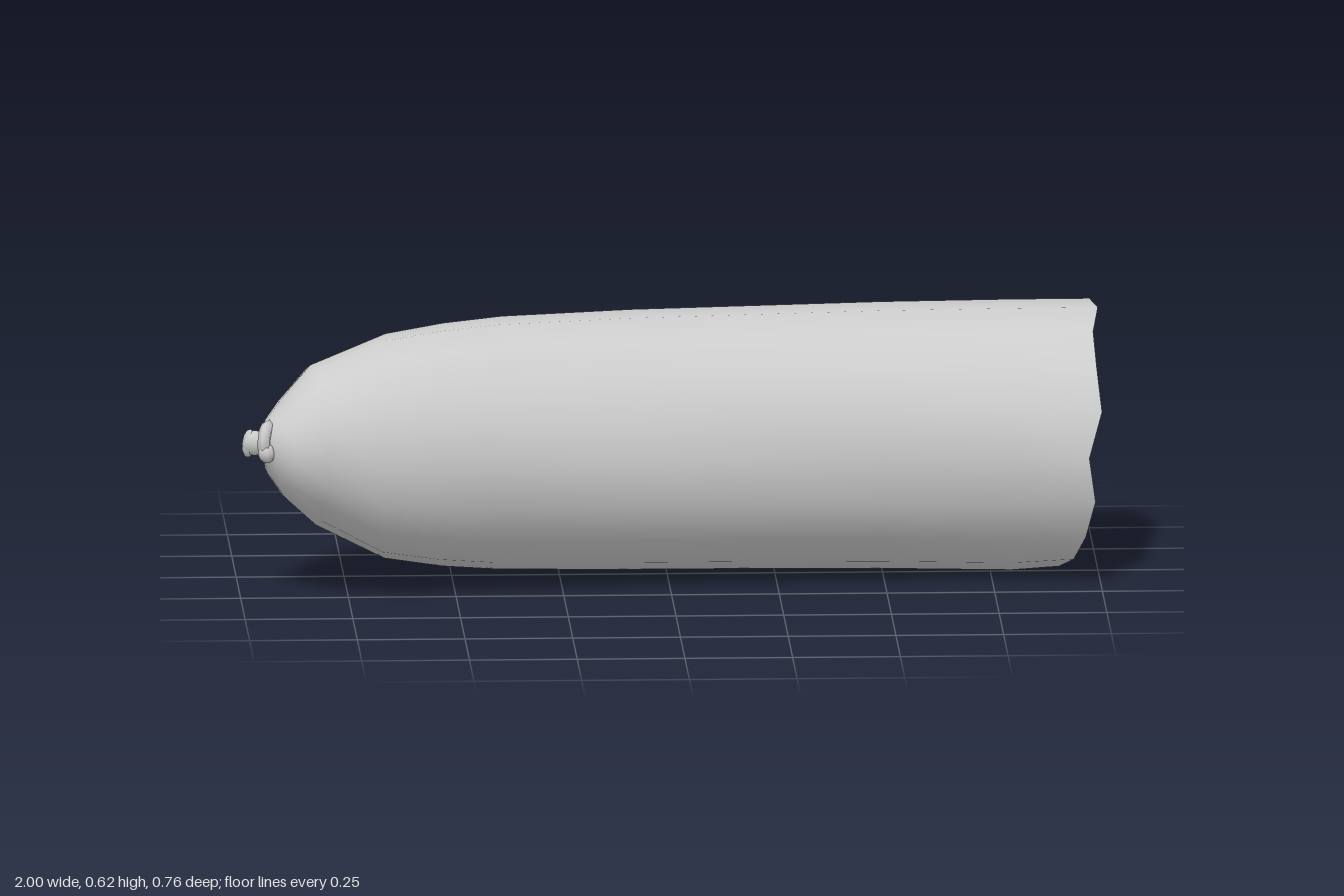
import * as THREE from 'three';
import { mergeVertices } from 'three/addons/utils/BufferGeometryUtils.js';

const SIDES = 18;

// Skin between closed rings of points, smooth all round
function loft(rings, name) {
  const n = rings[0].length, pos = [], idx = [];
  rings.forEach(r => r.forEach(p => pos.push(p.x, p.y, p.z)));
  for (let i = 0; i < rings.length - 1; i++) {
    for (let j = 0; j < n; j++) {
      const a = i * n + j, b = i * n + (j + 1) % n, c = a + n, d = b + n;
      idx.push(a, c, b, b, c, d);
    }
  }
  const geo = new THREE.BufferGeometry();
  geo.setAttribute('position', new THREE.Float32BufferAttribute(pos, 3));
  geo.setIndex(idx);
  const merged = mergeVertices(geo);
  merged.computeVertexNormals();
  return part(merged, name);
}

function part(geo, name) {
  const mesh = new THREE.Mesh(geo, new THREE.MeshStandardMaterial({ color: 0xcccccc }));
  mesh.name = name;
  return mesh;
}

// Cross-sections: back x, z, front x, z, top y, bottom y
const SECTIONS = [
  [-0.955, 0.262, -0.94, 0.305, 0.40, 0.355],
  [-0.95, 0.20, -0.92, 0.332, 0.43, 0.295],
  [-0.92, 0.11, -0.88, 0.36, 0.468, 0.238],
  [-0.86, 0.03, -0.80, 0.38, 0.54, 0.168],
  [-0.64, -0.14, -0.68, 0.379, 0.594, 0.073],
  [-0.50, -0.197, -0.55, 0.36, 0.61, 0.046],
  [-0.36, -0.25, -0.42, 0.337, 0.617, 0.03],
  [-0.07, -0.31, -0.10, 0.294, 0.62, 0.017],
  [0.20, -0.34, 0.20, 0.268, 0.621, 0.011],
  [0.50, -0.37, 0.50, 0.249, 0.623, 0.004],
  [0.80, -0.382, 0.80, 0.249, 0.625, -0.003],
  [0.95, -0.377, 0.95, 0.249, 0.626, 0.005],
];

// Uneven x positions of the cut edge, from the front up and around
const CUT = [0.97, 1, 0.99, 0.985, 1, 0.985, 0.965, 0.955, 0.945,
  0.93, 0.915, 0.945, 0.945, 0.915, 0.91, 0.94, 0.965, 0.985];

function ring([bx, bz, fx, fz, top, bottom], crease) {
  const pts = [];
  for (let j = 0; j < SIDES; j++) {
    const a = j / SIDES * Math.PI * 2;
    const x = (bx + fx) / 2;
    // shallow fold running diagonally down the front
    const off = (Math.atan2(Math.sin(a), Math.cos(a)) - 0.3 + 0.85 * x) / 0.3;
    const k = 1 - (crease ? 0.02 * Math.exp(-off * off) : 0);
    const c = Math.cos(a) * k / 2;
    pts.push(new THREE.Vector3(
      x + (fx - bx) * c,
      (top + bottom) / 2 + (top - bottom) / 2 * Math.sin(a) * k,
      (bz + fz) / 2 + (fz - bz) * c));
  }
  return pts;
}

export function createModel() {
  const model = new THREE.Group();
  model.name = 'cutSausage';

  // Curved casing, tapering to the tied end
  const rings = SECTIONS.map((s, i) => ring(s, i > 5 && i < 11));
  const rim = rings[rings.length - 1];
  rim.forEach((p, j) => { p.x = CUT[j]; });
  model.add(loft(rings, 'casing'));

  // Softly hollowed cut face inside a thin lip
  const middle = new THREE.Vector3(0.955, 0.315, -0.065);
  const dish = [1, 0.98, 0.9, 0.75, 0.55, 0.3, 0].map(k => rim.map(p => {
    const q = middle.clone().lerp(p, k);
    q.x -= 0.1 * (1 - k * k);
    return q;
  }));
  model.add(loft(dish, 'cutFace'));

  // Tied knot: a ring around the neck and crumpled skin behind it
  const knot = new THREE.Group();
  knot.name = 'knot';
  const tie = part(new THREE.TorusGeometry(0.036, 0.015, 6, 12), 'tieRing');
  tie.position.set(-0.938, 0.38, 0.288);
  tie.rotation.set(0, 1.25, 0.2);
  knot.add(tie);
  const lumps = [
    [-0.968, 0.374, 0.276, 0.03, 0.03, 0.028],
    [-0.982, 0.372, 0.27, 0.016, 0.034, 0.026],
    [-0.943, 0.358, 0.318, 0.02, 0.024, 0.022],
  ];
  lumps.forEach(([x, y, z, sx, sy, sz], i) => {
    const lump = part(new THREE.SphereGeometry(1, 8, 6), 'tailFold' + (i + 1));
    lump.position.set(x, y, z);
    lump.scale.set(sx, sy, sz);
    lump.rotation.z = 0.3 * i - 0.4;
    knot.add(lump);
  });
  model.add(knot);

  return model;
}
